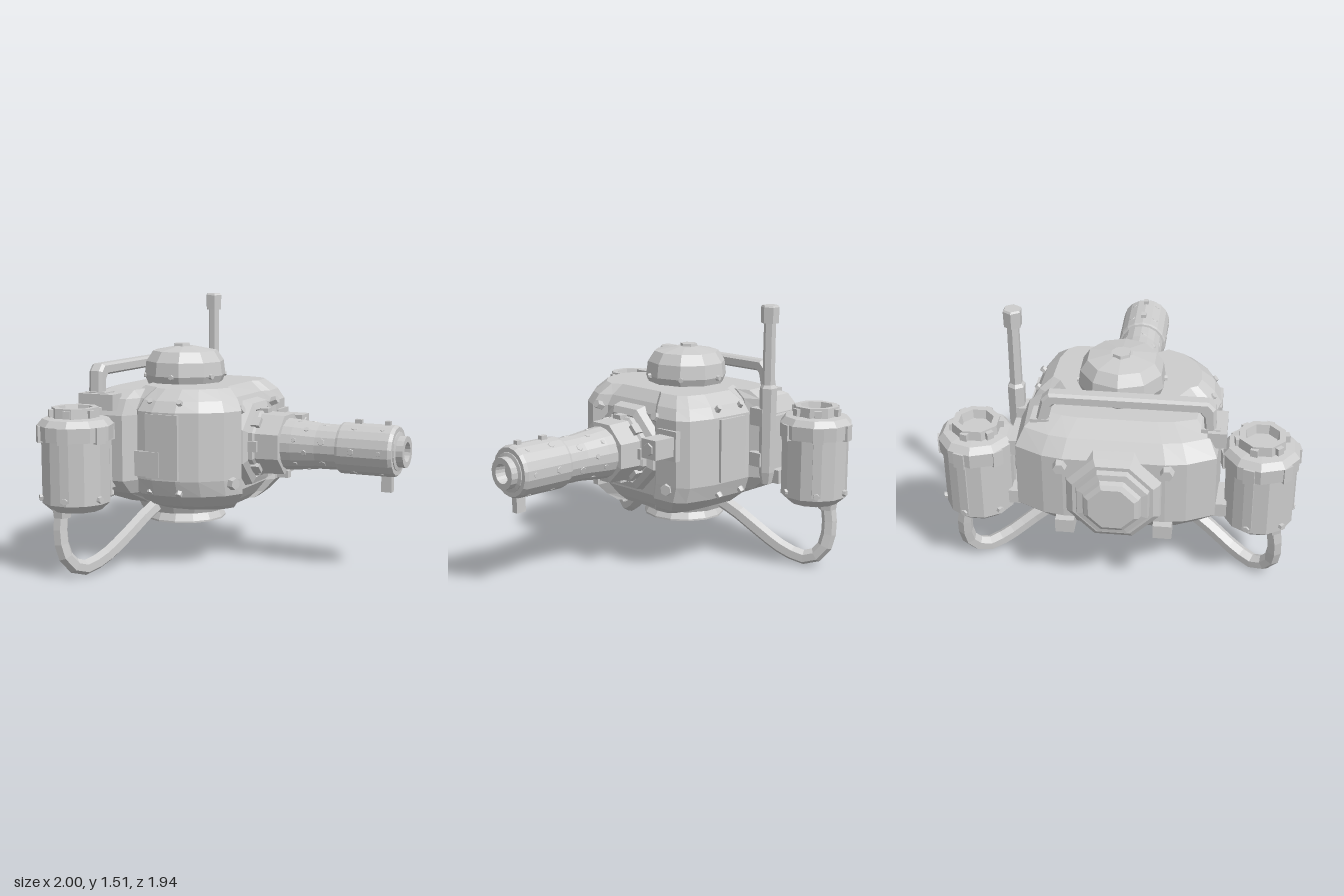
import * as THREE from 'three';

const grey = new THREE.MeshStandardMaterial({ color: 0xcccccc });
grey.name = 'pale grey metal';

// Faceted mesh: every face keeps its own normal
function add(parent, name, geo, x = 0, y = 0, z = 0) {
  const g = geo.index ? geo.toNonIndexed() : geo;
  g.computeVertexNormals();
  const m = new THREE.Mesh(g, grey);
  m.name = name;
  m.position.set(x, y, z);
  parent.add(m);
  return m;
}
const box = (w, h, d) => new THREE.BoxGeometry(w, h, d);
// Lathe from [radius, height] pairs; polygon corners are turned so flats face the axes
function lathe(pts, n) {
  return new THREE.LatheGeometry(pts.map(p => new THREE.Vector2(p[0], p[1])), n, Math.PI / n);
}
const latheX = (pts, n) => lathe(pts, n).rotateZ(-Math.PI / 2);

// Skin over copies of one outline, each level = [y, scaleX, scaleZ]
function loft(outline, cx, levels) {
  const n = outline.length, pos = [], idx = [];
  for (const [y, sx, sz] of levels)
    for (const [x, z] of outline) pos.push(cx + (x - cx) * sx, y, z * sz);
  for (let l = 0; l < levels.length - 1; l++)
    for (let i = 0; i < n; i++) {
      const a = l * n + i, b = l * n + (i + 1) % n, c = b + n, d = a + n;
      idx.push(a, b, d, c, d, b);
    }
  const g = new THREE.BufferGeometry();
  g.setAttribute('position', new THREE.Float32BufferAttribute(pos, 3));
  g.setIndex(idx);
  return g;
}
// Short hexagonal bolt pointing along dir
function bolt(parent, x, y, z, dir, r = 0.025, h = 0.04) {
  const m = add(parent, 'bolt', new THREE.CylinderGeometry(r * 0.8, r, h, 6), x, y, z);
  m.quaternion.setFromUnitVectors(new THREE.Vector3(0, 1, 0), new THREE.Vector3(...dir).normalize());
}

function buildHull(g) {
  // Front block: rounded left cheek, squarer right cheek
  const front = [[-0.62, 0.2], [-0.58, 0.38], [-0.43, 0.46], [-0.4, 0.51], [-0.3, 0.535], [-0.16, 0.525],
    [-0.04, 0.475], [0.07, 0.38], [0.125, 0.27], [0.07, 0.2],
    [0.07, -0.2], [0.11, -0.25], [0.1, -0.4], [0.05, -0.46], [-0.1, -0.5], [-0.38, -0.51], [-0.43, -0.45],
    [-0.58, -0.38], [-0.62, -0.2]];
  add(g, 'frontHull', loft(front, -0.2, [[0.325, 0, 0], [0.325, 0.7, 0.6], [0.36, 0.82, 0.78], [0.43, 1, 0.94],
    [0.52, 1, 1], [0.9, 1, 0.99], [0.96, 0.9, 0.92], [1.02, 0.7, 0.78], [1.02, 0, 0]]));
  // Rear block, lower and sloping down to the back
  const half = [[-0.88, 0.27], [-0.86, 0.38], [-0.79, 0.53], [-0.48, 0.545], [-0.43, 0.45]];
  const rear = [...half, ...half.map(([x, z]) => [x, -z]).reverse()];
  add(g, 'rearHull', loft(rear, -0.45, [[0.335, 0, 0], [0.335, 0.4, 0.5], [0.42, 0.85, 0.85], [0.5, 1, 1],
    [0.87, 1, 1], [0.96, 0.85, 0.92], [1.005, 0.55, 0.78], [1.005, 0, 0]]));

  for (const s of [1, -1]) {
    // Raised cheek plates and bolts
    add(g, 'cheekPlate', box(0.2, 0.36, 0.03), -0.24, 0.71, s * (s > 0 ? 0.52 : 0.5));
    for (const x of [-0.33, -0.15]) {
      bolt(g, x, 0.95, s * 0.48, [0, 1, s], 0.022, 0.03);
      bolt(g, x, 0.45, s * 0.495, [0, -1, s], 0.022, 0.03);
    }
    // Tank mounting brackets
    add(g, 'tankBracket', box(0.22, 0.09, 0.1), -0.63, s > 0 ? 0.945 : 0.82, s * 0.525);
    add(g, 'tankLowerBracket', box(0.2, 0.08, 0.1), -0.65, 0.5, s * 0.54);
    // Rear corner fittings
    add(g, 'rearFoot', box(0.1, 0.08, 0.1), -0.87, 0.46, s * 0.26);
    bolt(g, -0.89, 0.83, s * 0.28, [-1, 0, 0], 0.04, 0.06);
    bolt(g, 0.1, 0.5, s * 0.33, [1, 0, s * 0.4], 0.04, 0.05);
    bolt(g, 0.1, 0.9, s * 0.24, [1, 0.4, 0], 0.03, 0.05);
  }
  add(g, 'cheekPatch', box(0.15, 0.14, 0.025), -0.33, 0.61, 0.53);

  // Secondary sensor beside the gun
  add(g, 'sensorMount', box(0.1, 0.17, 0.15), 0.07, 0.76, -0.34);
  add(g, 'sensorBarrel', box(0.17, 0.11, 0.11), 0.175, 0.76, -0.345);
  add(g, 'sensorLens', latheX([[0.04, 0], [0.035, 0.012], [0, 0.012]], 6), 0.255, 0.76, -0.345);

  // Rear hatch: broad plate with a tapering boss
  add(g, 'rearHatch', latheX([[0, -0.025], [0.23, -0.025], [0.265, 0], [0.285, 0.06]], 8), -0.9, 0.655, 0);
  add(g, 'rearHatchBoss', latheX([[0, -0.1], [0.13, -0.1], [0.155, -0.085], [0.165, -0.06], [0.2, -0.055], [0.21, -0.02]], 8),
    -0.9, 0.655, 0);

  // Swivel base
  add(g, 'baseRing', lathe([[0, 0.215], [0.24, 0.215], [0.24, 0.225], [0.215, 0.27], [0.26, 0.275], [0.29, 0.34]], 14),
    -0.37, 0, 0);
}

function buildDome(g) {
  add(g, 'dome', lathe([[0.215, 1], [0.24, 1.06], [0.23, 1.14], [0.19, 1.2], [0.06, 1.225], [0, 1.225]], 10), -0.37, 0, -0.01);
  add(g, 'domeCap', lathe([[0.055, 1.21], [0.05, 1.24], [0, 1.24]], 6), -0.39, 0, -0.01);
  for (let i = 0; i < 6; i++) {
    const a = i * Math.PI / 3 + 0.4, c = Math.cos(a), s = Math.sin(a);
    bolt(g, -0.37 + c * 0.23, 1.06, -0.01 + s * 0.23, [c, 0, s], 0.018, 0.03);
  }
}

function buildGun(parent) {
  const g = new THREE.Group();
  g.name = 'gun';
  g.position.set(0, 0.69, 0);
  parent.add(g);
  add(g, 'gunFrame', latheX([[0.27, 0.04], [0.25, 0.115], [0.21, 0.13], [0.18, 0.1]], 8));
  add(g, 'gunCollar', latheX([[0.2, 0.08], [0.2, 0.15], [0.185, 0.16], [0.18, 0.3], [0.13, 0.305]], 8));
  add(g, 'barrelSleeve', latheX([[0.15, 0.28], [0.145, 0.36], [0.13, 0.5], [0.128, 0.63]], 18));
  add(g, 'barrelShroud', latheX([[0.12, 0.62], [0.14, 0.625], [0.145, 0.64], [0.145, 0.93], [0.135, 0.95], [0.1, 0.95]], 18));
  add(g, 'muzzle', latheX([[0.11, 0.93], [0.11, 0.955], [0.088, 0.96], [0.088, 1], [0.055, 1], [0.05, 0.94], [0, 0.94]], 18));
  // Collar clamps
  for (let i = 0; i < 8; i++) {
    const a = i * Math.PI / 4;
    add(g, 'collarClamp', box(0.06, 0.025, 0.06), 0.15, Math.cos(a) * 0.185, Math.sin(a) * 0.185).rotation.x = a;
  }
  // Vent discs around sleeve and shroud
  for (const [x, r, off, size] of [[0.38, 0.141, 0.2, 0.016], [0.44, 0.135, 0.7, 0.018],
    [0.54, 0.127, 0.2, 0.024], [0.72, 0.143, 0.52, 0.022], [0.88, 0.143, 0.52, 0.016]])
    for (let i = 0; i < 6; i++) {
      const a = off + i * Math.PI / 3, c = Math.cos(a), s = Math.sin(a);
      bolt(g, x, c * r, s * r, [0, c, s], size, 0.006);
    }
  add(g, 'frontSight', box(0.03, 0.03, 0.03), 0.89, 0.15, 0);
  add(g, 'rearSight', box(0.04, 0.03, 0.03), 0.72, 0.15, 0);
  add(g, 'muzzleTab', box(0.06, 0.1, 0.04), 0.89, -0.18, 0);
  add(g, 'collarTab', box(0.07, 0.04, 0.04), 0.28, -0.17, 0.03);
}

function buildTank(parent, s) {
  const g = new THREE.Group();
  g.name = s > 0 ? 'leftTank' : 'rightTank';
  g.position.set(s > 0 ? -0.645 : -0.665, 0, s * 0.76);
  parent.add(g);
  add(g, 'tankBody', lathe([[0, 0.375], [0.14, 0.375], [0.19, 0.42], [0.19, 0.8]], 12));
  add(g, 'tankLid', lathe([[0.185, 0.765], [0.208, 0.765], [0.21, 0.845], [0.18, 0.88], [0.1, 0.89]], 10));
  add(g, 'tankNeck', lathe([[0.135, 0.86], [0.13, 0.94], [0.095, 0.94], [0.085, 0.89], [0, 0.89]], 8));
  for (let i = 0; i < 6; i++) {
    const a = i * Math.PI / 3 + 0.3, c = Math.cos(a), z = Math.sin(a);
    add(g, 'lidClamp', box(0.03, 0.09, 0.06), c * 0.196, 0.8, z * 0.196).rotation.y = -a;
    bolt(g, c * 0.187, 0.45, z * 0.187, [c, 0, z], 0.022, 0.035);
    if (i % 2) add(g, 'tankRib', box(0.02, 0.34, 0.05), c * 0.184, 0.61, z * 0.184).rotation.y = -a;
    add(g, 'neckLug', box(0.03, 0.04, 0.04), c * 0.13, 0.91, z * 0.13).rotation.y = -a;
  }
  // Drooping feed hose from tank floor to hull underside
  const path = [[-0.68, 0.42, 0.83], [-0.69, 0.33, 0.855], [-0.68, 0.19, 0.865], [-0.65, 0.09, 0.84], [-0.61, 0.043, 0.76],
    [-0.55, 0.085, 0.64], [-0.49, 0.18, 0.5], [-0.45, 0.27, 0.36], [-0.43, 0.32, 0.24]];
  const curve = new THREE.CatmullRomCurve3(path.map(p => new THREE.Vector3(p[0], p[1], s * p[2])));
  add(parent, 'feedHose', new THREE.TubeGeometry(curve, 14, 0.043, 6));
  add(parent, 'hoseSocket', lathe([[0, 0.34], [0.052, 0.34], [0.06, 0.4]], 6), -0.685, 0, s * 0.845);
}

function buildFittings(g) {
  // Grab handle: one bent bar across the rear deck
  const arch = [[0.52, 0.95], [0.51, 1.11], [0.475, 1.15], [-0.36, 1.15], [-0.4, 1.11], [-0.44, 0.95],
    [-0.375, 0.95], [-0.345, 1.07], [-0.33, 1.085], [0.43, 1.085], [0.45, 1.06], [0.46, 0.95]];
  const shape = new THREE.Shape(arch.map(p => new THREE.Vector2(-p[0], p[1])));
  const bar = new THREE.ExtrudeGeometry(shape, {
    depth: 0.05, bevelEnabled: true, bevelThickness: 0.018, bevelSize: 0.012, bevelOffset: -0.012, bevelSegments: 1,
  });
  add(g, 'handle', bar.rotateY(Math.PI / 2), -0.695, 0, 0);
  for (const z of [0.49, -0.41]) add(g, 'handleFoot', box(0.13, 0.06, 0.1), -0.65, 0.965, z);
  // Antenna
  add(g, 'antennaSocket', lathe([[0, 0.48], [0.03, 0.48], [0.045, 0.55], [0.05, 1.04], [0.035, 1.06]], 6), -0.46, 0, -0.575);
  add(g, 'antennaRod', lathe([[0.036, 1.03], [0.034, 1.43]], 6), -0.46, 0, -0.575);
  add(g, 'antennaTip', lathe([[0, 1.41], [0.05, 1.41], [0.052, 1.5], [0.045, 1.51], [0, 1.51]], 6), -0.46, 0, -0.575);
  add(g, 'antennaClamp', box(0.1, 0.1, 0.09), -0.46, 0.87, -0.53);
  add(g, 'antennaLowerClamp', box(0.1, 0.08, 0.09), -0.46, 0.62, -0.52);
}

export function createModel() {
  const model = new THREE.Group();
  model.name = 'turret';
  buildHull(model);
  buildDome(model);
  buildGun(model);
  buildTank(model, 1);
  buildTank(model, -1);
  buildFittings(model);
  return model;
}
